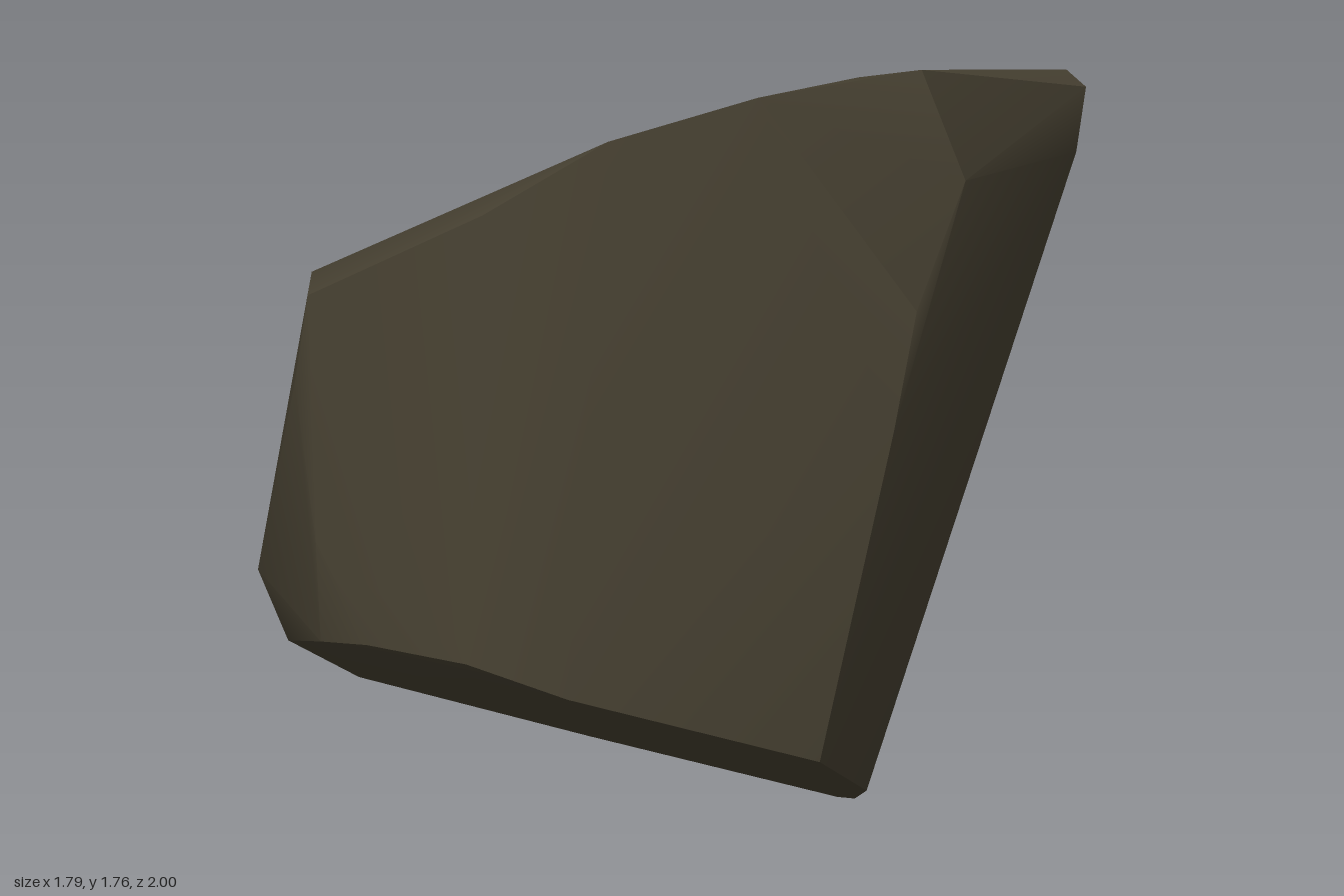
import * as THREE from 'three';
import { ConvexGeometry } from 'three/addons/geometries/ConvexGeometry.js';
import { toCreasedNormals } from 'three/addons/utils/BufferGeometryUtils.js';

// Rim of the sloping top face
const topRim = [
  [-0.87, 1.11, 0.22], [-0.64, 1.21, 0.49], [-0.09, 1.31, 0.96], [0.28, 1.5, 0.83],
  [0.49, 1.65, 0.7], [0.68, 1.73, 0.49], [0.8, 1.76, 0.15], [0.51, 1.6, -0.8],
  [0.31, 1.6, -1], [-0.14, 1.56, -0.79], [-0.59, 1.39, -0.54], [-0.73, 1.29, -0.38],
];

// Bulges and corners around the sides
const sides = [
  [0.89, 1.55, 0.12], [0.59, 1.48, -0.66], [0.88, 1.31, 0.25], [0.87, 1.08, 0.3],
  [-0.12, 1.13, 0.975], [-0.04, 0.82, 1], [-0.49, 0.62, 0.79], [-0.68, 1.32, -0.49],
  [-0.82, 0.75, -0.3], [-0.9, 0.48, 0.09], [-0.87, 0.33, 0.12],
  [0.12, 0.73, -0.79], [0.15, 0.6, -0.72], [0.23, 0.32, -0.58],
];

// Rim of the tilted underside
const baseRim = [
  [-0.74, 0.19, 0.3], [-0.27, 0.08, 0], [0.27, 0, -0.26], [0.33, 0.015, -0.25],
  [0.57, 0.17, 0], [0.76, 0.39, 0.38], [0.62, 0.5, 0.61], [0.49, 0.57, 0.82],
  [0.32, 0.63, 0.93], [0.09, 0.63, 0.985], [-0.04, 0.61, 0.995], [-0.42, 0.47, 0.77],
];

export function createModel() {
  const group = new THREE.Group();
  group.name = 'rock';
  const stone = new THREE.MeshStandardMaterial({ color: 0x464031 });
  stone.name = 'dark brown stone';

  // One boulder: the hull of its rims, smooth except at the sharper edges
  const points = [...topRim, ...sides, ...baseRim].map((p) => new THREE.Vector3(...p));
  const boulder = new THREE.Mesh(toCreasedNormals(new ConvexGeometry(points), 0.55), stone);
  boulder.name = 'boulder';
  group.add(boulder);
  return group;
}
